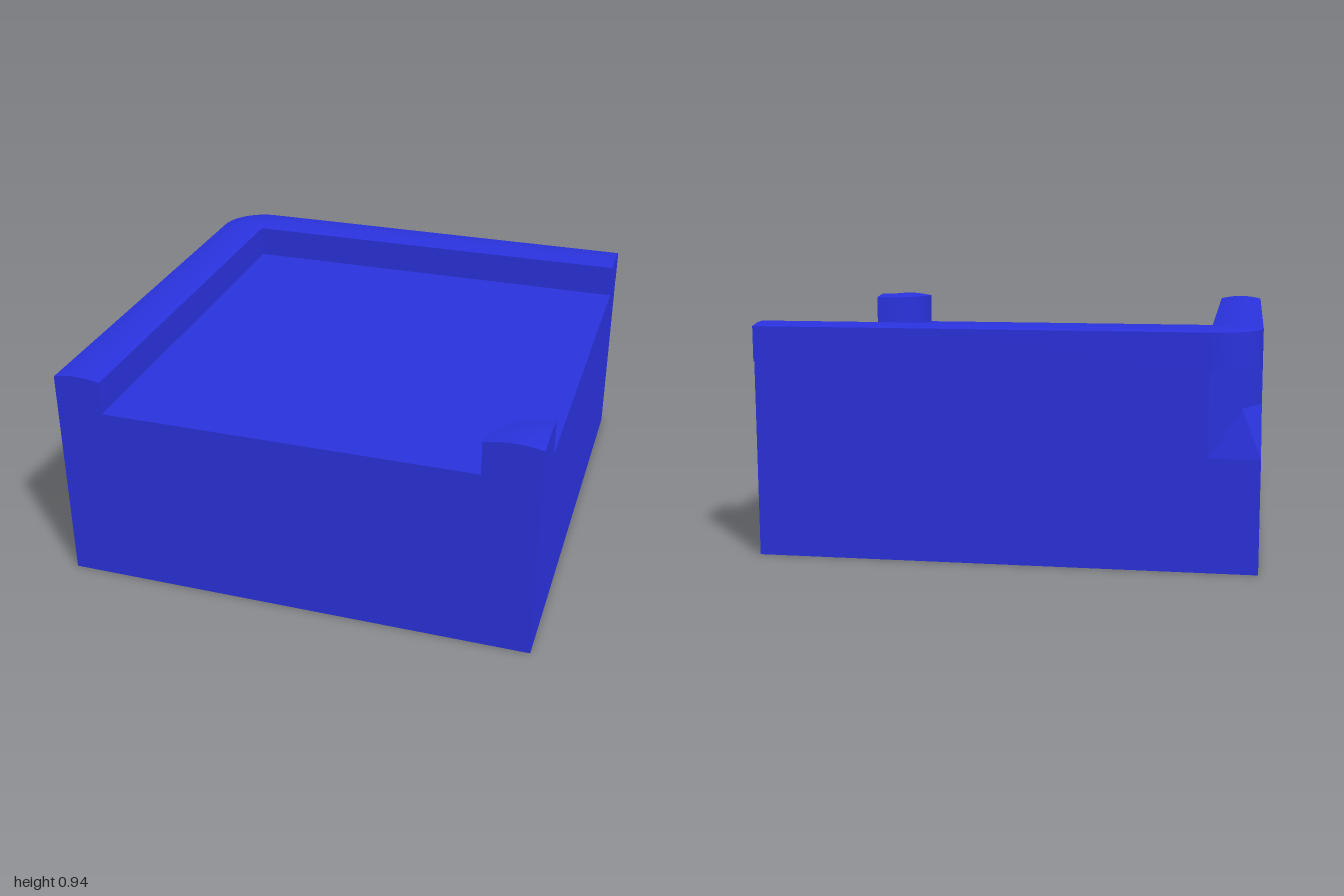
import * as THREE from 'three';
import { toCreasedNormals } from 'three/addons/utils/BufferGeometryUtils.js';

const FLOOR = 0.79;

// Joins rings of [x, y, z] points into a closed solid with both ends capped
function loft(rings, crease) {
  const n = rings[0].length, last = (rings.length - 1) * n, index = [];
  for (let i = 0; i < rings.length - 1; i++) {
    for (let j = 0; j < n; j++) {
      const a = i * n + j, b = i * n + (j + 1) % n;
      index.push(a, b, b + n, a, b + n, a + n);
    }
  }
  for (let j = 1; j < n - 1; j++) {
    index.push(0, j + 1, j, last, last + j, last + j + 1);
  }
  const geometry = new THREE.BufferGeometry();
  geometry.setAttribute('position', new THREE.Float32BufferAttribute(rings.flat(2), 3));
  geometry.setIndex(index);
  return toCreasedNormals(geometry, crease);
}

// Sweeps a profile of [distance, height] outwards from stations [x, z, angle];
// angle 0 points to -x, a quarter turn points to -z
function sweep(stations, profile) {
  const rings = stations.map(([x, z, a]) =>
    profile.map(([t, y]) => [x - t * Math.cos(a), y, z - t * Math.sin(a)]).reverse());
  return loft(rings, 0.45);
}

// Upright sides with a gently domed top
function domedProfile(width, steps = 8) {
  const points = [[0, FLOOR]];
  for (let i = 0; i <= steps; i++) {
    const u = i / steps;
    points.push([u * width, 0.932 + 0.013 * Math.sin(Math.PI * u)]);
  }
  points.push([width, FLOOR]);
  return points;
}

// Quarter turn of stations about one point
function quarter(x, z, steps = 12) {
  return Array.from({ length: steps + 1 }, (_, i) => [x, z, (i / steps) * Math.PI / 2]);
}

export function createModel() {
  const group = new THREE.Group();
  const material = new THREE.MeshStandardMaterial({ color: 0x2a32dc });
  const add = (name, geometry) => {
    const mesh = new THREE.Mesh(geometry, material);
    mesh.name = name;
    group.add(mesh);
  };

  // Block, its back corner cut away under the rounded kerb
  const outline = (y, cx, cz) => [
    [1, y, 1], [1, y, -0.99], [-0.8, y, -0.99], [cx, y, cz], [-1, y, -0.8], [-1, y, 1],
  ];
  add('block', loft([
    outline(0, -1, -0.99),
    outline(0.45, -1, -0.99),
    outline(0.64, -0.925, -0.955),
    outline(FLOOR, -0.925, -0.955),
  ], 0.1));

  // Kerb along two sides, with a round outer and a sharp inner corner
  add('kerb', sweep(
    [[-0.8, 1, 0], ...quarter(-0.8, -0.8), [1, -0.8, Math.PI / 2]],
    domedProfile(0.2)));

  // Quarter-round kerb in the opposite corner
  add('cornerKerb', sweep(quarter(1, 1), domedProfile(0.235)));

  return group;
}
